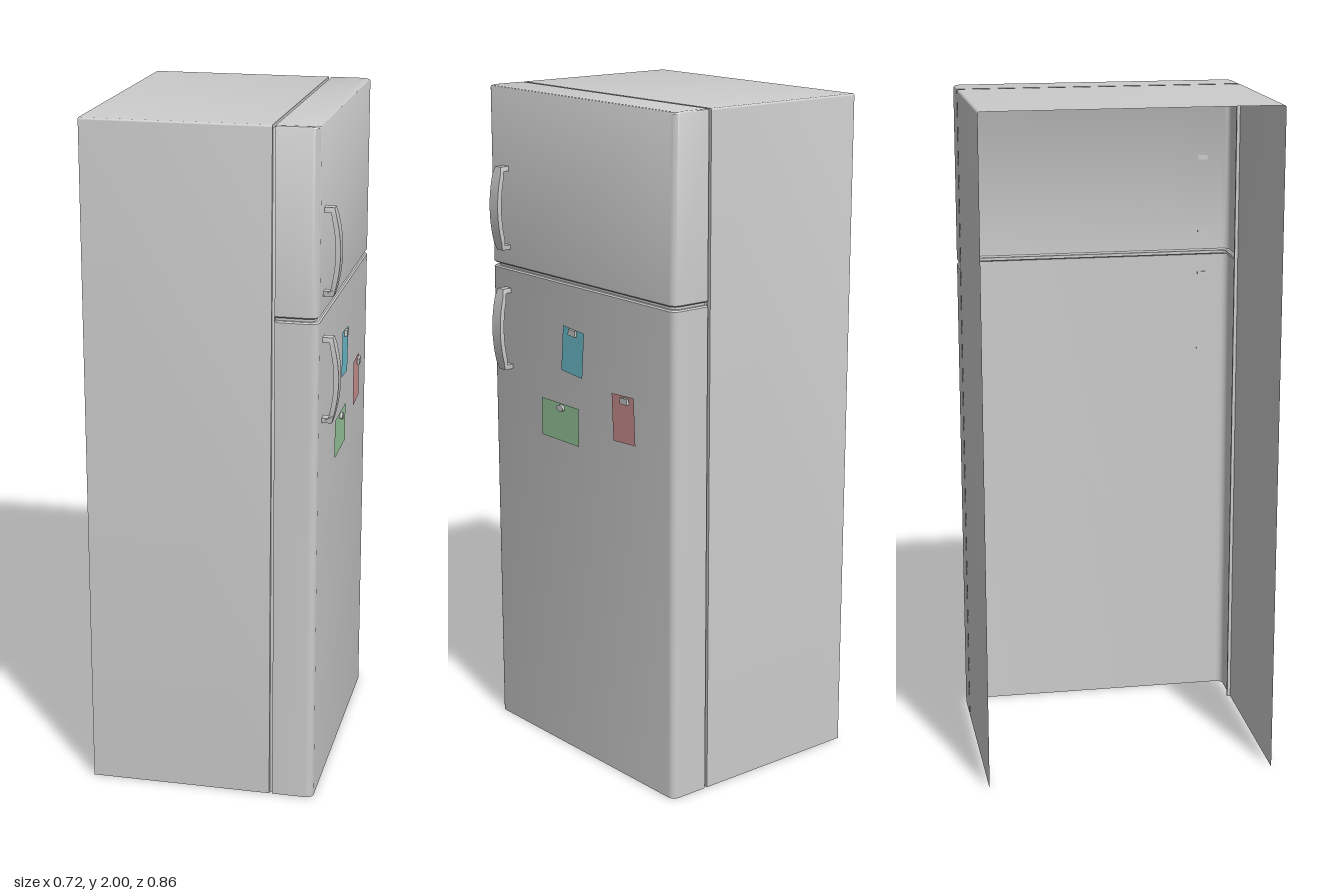
import * as THREE from 'three';
import { toCreasedNormals } from 'three/addons/utils/BufferGeometryUtils.js';

const grey = () => new THREE.MeshStandardMaterial({ color: 0xcccccc, side: THREE.DoubleSide });

function addMesh(parent, name, geometry, material = grey()) {
  const mesh = new THREE.Mesh(geometry, material);
  mesh.name = name;
  parent.add(mesh);
  return mesh;
}

// Skin a list of equal-length open rings of Vector3
function loft(rings) {
  const pos = [];
  const push = (...pts) => pts.forEach((p) => pos.push(p.x, p.y, p.z));
  for (let j = 0; j < rings.length - 1; j++) {
    for (let i = 0; i < rings[j].length - 1; i++) {
      const a = rings[j][i], b = rings[j][i + 1];
      const c = rings[j + 1][i + 1], d = rings[j + 1][i];
      push(a, b, c);
      push(a, c, d);
    }
  }
  const geo = new THREE.BufferGeometry();
  geo.setAttribute('position', new THREE.Float32BufferAttribute(pos, 3));
  return toCreasedNormals(geo, 0.6);
}

// Quarter-round corner: angles from 0 to 90 degrees
const arc = [0, 1, 2, 3, 4].map((k) => (k / 4) * Math.PI / 2);

// Arch over the cabinet in the y-z plane
function archRing(x, inset) {
  const w = 0.43 - inset, h = 2 - inset, r = 0.006;
  const half = arc.map((t) => [h - r + r * Math.sin(t), w - r + r * Math.cos(t)]);
  half.unshift([0, w]);
  return [
    ...half.map(([y, z]) => new THREE.Vector3(x, y, -z)),
    ...half.reverse().map(([y, z]) => new THREE.Vector3(x, y, z)),
  ];
}

// U-shaped door outline in the x-z plane with rounded front corners
function doorRing(y, inset, flatten = 1) {
  const w = 0.43 - inset, front = 0.312 - inset, r = 0.022;
  const half = arc.map((t) => [front - r + r * Math.sin(t), w - r + r * Math.cos(t)]);
  half.unshift([0.19, w]);
  return [
    ...half.map(([x, z]) => new THREE.Vector3(x, y, z * flatten)),
    ...half.reverse().map(([x, z]) => new THREE.Vector3(x, y, -z * flatten)),
  ];
}

// Bowed pull handle, narrower at its ends
function handleGeometry() {
  const s = new THREE.Shape();
  const e = 0.125, t = 0.014;
  s.moveTo(0.31, -e);
  s.lineTo(0.341, -e);
  s.quadraticCurveTo(0.379, 0, 0.341, e);
  s.lineTo(0.31, e);
  s.lineTo(0.31, e - t);
  s.lineTo(0.331, e - t);
  s.quadraticCurveTo(0.361, 0, 0.331, -e + t);
  s.lineTo(0.31, -e + t);
  s.closePath();
  const geo = new THREE.ExtrudeGeometry(s, { depth: 1, bevelEnabled: false, curveSegments: 10 });
  geo.translate(0, 0, -0.5);
  const p = geo.attributes.position;
  for (let i = 0; i < p.count; i++) {
    const width = Math.abs(p.getY(i)) > 0.108 ? 0.028 : 0.041;
    p.setZ(i, p.getZ(i) * width);
  }
  return toCreasedNormals(geo, 0.6);
}

export function createModel() {
  const model = new THREE.Group();
  model.name = 'refrigerator';

  // Cabinet: open at the back and bottom, ending in the recessed door seam
  addMesh(model, 'cabinet', loft([
    archRing(-0.36, 0), archRing(0.181, 0), archRing(0.181, 0.01),
    archRing(0.19, 0.01), archRing(0.19, 0),
  ]));

  // Lower door, ending in the recessed gap below the freezer door
  addMesh(model, 'lowerDoor', loft([
    doorRing(0, 0), doorRing(1.455, 0), doorRing(1.459, 0.004),
    doorRing(1.459, 0.011), doorRing(1.468, 0.011),
  ]));

  // Upper door with rounded rim and flat top
  addMesh(model, 'upperDoor', loft([
    doorRing(1.468, 0.011), doorRing(1.468, 0.004), doorRing(1.472, 0),
    doorRing(1.994, 0), doorRing(1.998, 0.002), doorRing(2, 0.006), doorRing(2, 0.006, 0),
  ]));

  // Handles
  for (const [name, y] of [['upperHandle', 1.643], ['lowerHandle', 1.275]]) {
    addMesh(model, name, handleGeometry()).position.set(0, y, 0.345);
  }

  // Paper notes held by small magnets: y, z, width, height, tilt, magnet offset
  const notes = [
    { name: 'blueNote', color: 0x6fc3d3, x: 0.319, y: 1.262, z: 0.02, w: 0.1, h: 0.137, tilt: -0.08, mx: 0, my: 0.058 },
    { name: 'redNote', color: 0xd09494, x: 0.316, y: 1.107, z: -0.212, w: 0.1, h: 0.14, tilt: 0.05, mx: 0.015, my: 0.057 },
    { name: 'greenNote', color: 0x9bcda0, x: 0.319, y: 1.037, z: 0.085, w: 0.18, h: 0.115, tilt: 0, mx: 0.007, my: 0.044, round: true },
  ];
  for (const n of notes) {
    const note = new THREE.Group();
    note.name = n.name;
    note.position.set(n.x, n.y, n.z);
    note.rotation.set(0, Math.PI / 2, n.tilt);
    addMesh(note, 'paper', new THREE.PlaneGeometry(n.w, n.h),
      new THREE.MeshStandardMaterial({ color: n.color, side: THREE.DoubleSide }));
    const geo = n.round
      ? new THREE.CylinderGeometry(0.016, 0.016, 0.008, 16).rotateX(Math.PI / 2).scale(1, 0.6, 1)
      : new THREE.BoxGeometry(0.032, 0.018, 0.008);
    addMesh(note, 'magnet', geo).position.set(n.mx, n.my, 0.327 - 0.004 - n.x);
    model.add(note);
  }
  return model;
}
